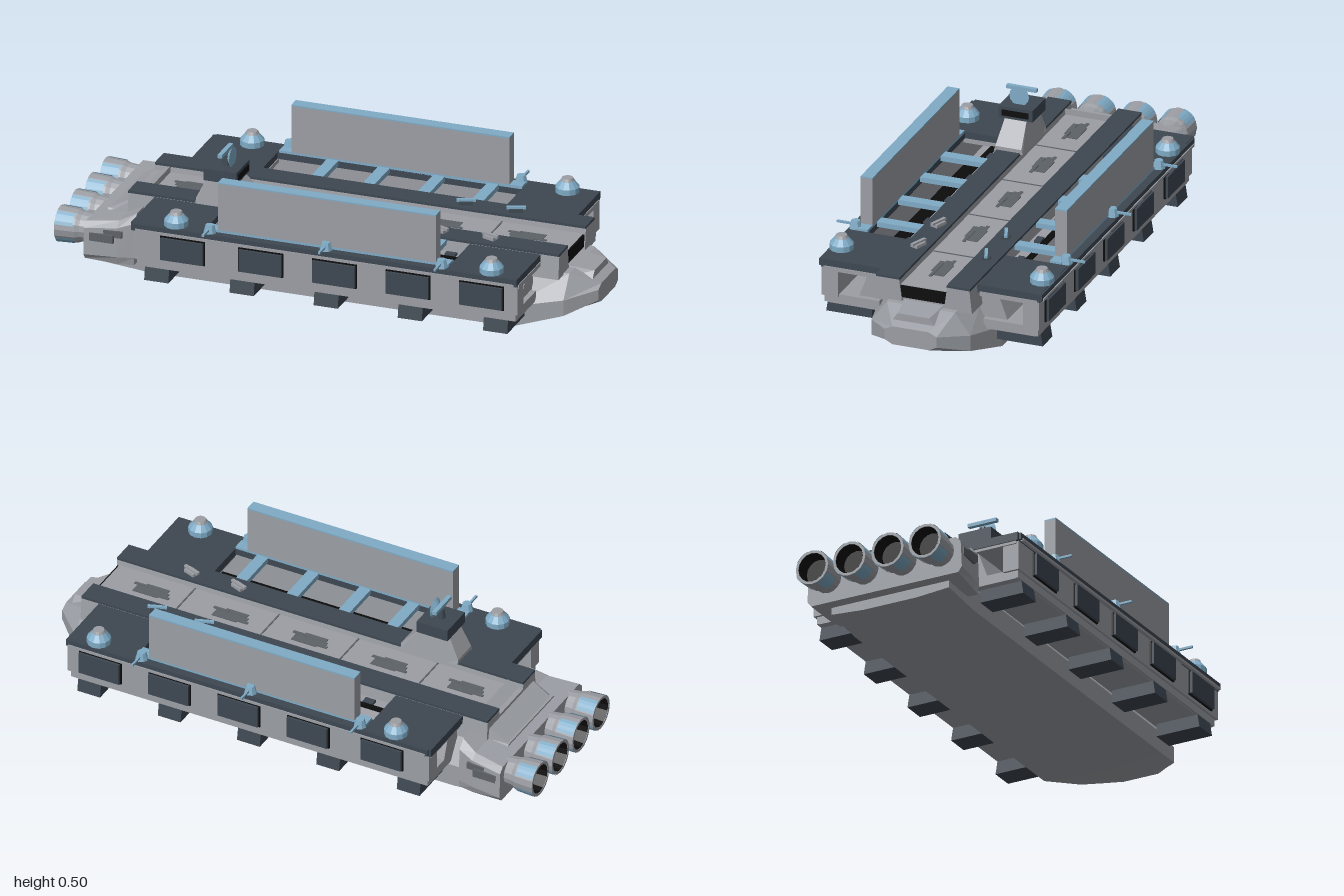
import * as THREE from 'three';

const mat = (name, color, o = {}) => {
  const m = new THREE.MeshStandardMaterial({ color, flatShading: true, ...o });
  m.name = name;
  return m;
};

export function createModel() {
  const grey = mat('hull grey', 0x9b9ea4);
  const dark = mat('slate', 0x3d4751);
  const blue = mat('pale blue', 0x7fabc6);
  const black = mat('black', 0x0c0c0c);
  const mid = mat('camouflage grey', 0x5d6268);
  const shell = grey;
  const root = new THREE.Group();
  root.name = 'ship';

  const add = (name, geo, m, x = 0, y = 0, z = 0) => {
    const mesh = new THREE.Mesh(geo, m);
    mesh.name = name;
    mesh.position.set(x, y, z);
    root.add(mesh);
    return mesh;
  };
  // Box given by its limits along each axis
  const box = (name, m, x0, x1, y0, y1, z0, z1) => add(name,
    new THREE.BoxGeometry(x1 - x0, y1 - y0, Math.abs(z1 - z0)), m,
    (x0 + x1) / 2, (y0 + y1) / 2, (z0 + z1) / 2);
  // Skin over [x, ring] sections; rings of [z, y] run up the +z side and down the other
  const loft = (name, m, sections) => {
    const p = [];
    const put = (s, i) => p.push(s[0], s[1][i][1], s[1][i][0]);
    const n = sections[0][1].length;
    for (let k = 0; k + 1 < sections.length; k++) {
      const a = sections[k], b = sections[k + 1];
      for (let i = 0; i < n; i++) {
        const j = (i + 1) % n;
        put(a, i); put(b, i); put(b, j);
        put(a, i); put(b, j); put(a, j);
      }
    }
    const first = sections[0], last = sections[sections.length - 1];
    for (let i = 1; i + 1 < n; i++) {
      put(first, 0); put(first, i); put(first, i + 1);
      put(last, 0); put(last, i + 1); put(last, i);
    }
    const g = new THREE.BufferGeometry();
    g.setAttribute('position', new THREE.Float32BufferAttribute(p, 3));
    g.computeVertexNormals();
    return add(name, g, m);
  };
  const sym = half => [...half, ...half.map(([z, y]) => [-z, y]).reverse()];
  // Ring of a trapezoid: bottom z limits, top z limits, bottom and top y
  const trap = (b0, b1, t0, t1, y0, y1) => [[b1, y0], [t1, y1], [t0, y1], [b0, y0]];

  // Main hull and bow
  loft('hull', grey, [
    [-0.84, sym([[0.11, 0.02], [0.24, 0.03], [0.24, 0.1], [0.17, 0.21]])],
    [-0.66, sym([[0.11, 0.004], [0.24, 0.013], [0.24, 0.1], [0.17, 0.21]])],
    [0.72, sym([[0.11, 0], [0.24, 0.012], [0.24, 0.09], [0.17, 0.21]])],
    [0.9, sym([[0.1, 0.045], [0.19, 0.06], [0.19, 0.12], [0.13, 0.2]])],
    [1.0, sym([[0.07, 0.085], [0.1, 0.1], [0.1, 0.14], [0.07, 0.155]])],
  ]);
  loft('bowStep', grey, [
    [0.84, trap(-0.1, 0.1, -0.08, 0.08, 0.16, 0.21)],
    [0.97, trap(-0.09, 0.09, -0.06, 0.06, 0.155, 0.195)],
  ]);

  // Centre deck with camouflage and a dark hangar mouth
  box('centreDeck', grey, -0.76, 0.87, 0.19, 0.262, -0.095, 0.095);
  box('hangarMouth', black, 0.868, 0.876, 0.215, 0.26, -0.088, 0.088);
  for (const x of [-0.58, -0.27, 0.05, 0.37, 0.69]) {
    [[0, 0, 0.13, 0.022], [-0.01, 0.022, 0.09, 0.02], [0.015, -0.02, 0.1, 0.018],
      [-0.05, -0.016, 0.05, 0.012], [0.05, 0.018, 0.06, 0.012]].forEach(([dx, dz, w, d], i) =>
      box('deckCamouflage', mid, x + dx - w / 2, x + dx + w / 2, 0.26, 0.264 + i * 0.0003, dz - d / 2, dz + d / 2));
  }
  for (const x of [-0.42, -0.1, 0.22, 0.56]) box('deckSeam', mid, x, x + 0.006, 0.26, 0.2635, -0.09, 0.09);

  // Stern engine housing
  loft('engineHousing', grey, [
    [-0.88, sym([[0.3, 0.06], [0.315, 0.08], [0.31, 0.18], [0.29, 0.2]])],
    [-0.76, sym([[0.29, 0.05], [0.3, 0.08], [0.295, 0.19], [0.27, 0.21]])],
    [-0.7, sym([[0.28, 0.05], [0.285, 0.08], [0.28, 0.21], [0.25, 0.24]])],
  ]);
  loft('sternDeck', grey, [
    [-0.84, trap(-0.18, 0.18, -0.16, 0.16, 0.19, 0.205)],
    [-0.7, trap(-0.19, 0.19, -0.17, 0.17, 0.19, 0.285)],
  ]);

  // Four engines with open nozzles
  const nozzle = new THREE.LatheGeometry([[0.05, 0], [0.056, 0.06], [0.062, 0.075], [0.066, 0.15],
    [0.056, 0.15], [0.05, 0.09]].map(([r, y]) => new THREE.Vector2(r, y)), 16);
  const along = (name, geo, m, x, y, z) => {
    const e = add(name, geo, m, x, y, z);
    e.rotation.z = Math.PI / 2;
    return e;
  };
  const blueSide = mat('pale blue', 0x7fabc6, { side: THREE.DoubleSide });
  blueSide.color = blue.color;
  for (const z of [-0.23, -0.078, 0.078, 0.23]) {
    along('engineNozzle', nozzle, shell, -0.85, 0.15, z);
    along('nozzleThroat', new THREE.CylinderGeometry(0.052, 0.052, 0.004, 16), black, -0.945, 0.15, z);
    along('nozzleLining', new THREE.CylinderGeometry(0.055, 0.05, 0.054, 16, 1, true),
      Object.assign(black, { side: THREE.DoubleSide }), -0.972, 0.15, z);
    for (let i = 0; i < 4; i++) {
      along('nozzleStripe', new THREE.CylinderGeometry(0.0675, 0.0645, 0.068, 4, 1, true,
        i * Math.PI / 2 + 0.3, Math.PI / 4), blueSide, -0.965, 0.15, z);
    }
  }

  for (const s of [1, -1]) {
    // Mirrored limits
    const sb = (name, m, x0, x1, y0, y1, z0, z1) => box(name, m, x0, x1, y0, y1, s * z0, s * z1);
    const sl = (name, m, x0, x1, b0, b1, t0, t1, y0, y1) => {
      const r = s > 0 ? trap(b0, b1, t0, t1, y0, y1) : trap(-b1, -b0, -t1, -t0, y0, y1);
      return loft(name, m, [[x0, r], [x1, r]]);
    };

    // Long deck rail with dark top
    sl('deckRail', grey, -0.76, 0.88, 0.08, 0.188, 0.092, 0.178, 0.195, 0.283);
    sb('railTop', dark, -0.76, 0.88, 0.282, 0.291, 0.09, 0.18);

    // Inner wall, floor and trench girders
    sl('innerWall', grey, -0.64, 0.78, 0.18, 0.285, 0.18, 0.25, 0.145, 0.24);
    sb('sponsonFloor', grey, -0.64, 0.8, 0.11, 0.147, 0.2, 0.4);
    sb('trenchFloor', black, -0.39, 0.54, 0.146, 0.152, 0.28, 0.355);
    sb('trenchRail', dark, -0.39, 0.54, 0.15, 0.165, 0.295, 0.31);
    sb('wallLedge', black, -0.39, 0.54, 0.238, 0.244, 0.225, 0.25);
    for (const x of [-0.3, -0.1, 0.1, 0.3, 0.48]) sb('wallLocker', dark, x - 0.02, x + 0.02, 0.19, 0.25, 0.2, 0.225);

    // Outer pod, its dark roof and the end platforms
    sb('podWall', grey, -0.65, 0.81, 0.14, 0.255, 0.355, 0.418);
    sb('podSkirt', grey, -0.64, 0.8, 0.112, 0.15, 0.37, 0.41);
    sb('podRoof', dark, -0.65, 0.81, 0.255, 0.28, 0.35, 0.428);
    sb('podRidge', grey, -0.64, 0.8, 0.252, 0.262, 0.41, 0.432);
    for (const [a, b] of [[-0.66, -0.39], [0.54, 0.81]]) {
      sb('endPlatform', dark, a, b, 0.25, 0.281, 0.18, 0.42);
      sb('platformEdge', grey, a + 0.004, b + 0.003, 0.24, 0.256, 0.19, 0.41);
    }

    // Side panels with rims, and feet below
    for (const x of [-0.463, -0.165, 0.115, 0.395, 0.675]) {
      sb('panelRim', black, x - 0.085, x + 0.085, 0.153, 0.245, 0.417, 0.424);
      sb('sidePanel', dark, x - 0.081, x + 0.081, 0.157, 0.241, 0.42, 0.434);
    }
    for (const x of [-0.565, -0.24, 0.08, 0.4, 0.725]) {
      sl('foot', dark, x - 0.046, x + 0.046, 0.24, 0.416, 0.24, 0.403, 0.062, 0.142);
    }

    // Blue beams and tall shield plate
    sb('longBeam', blue, -0.385, 0.54, 0.278, 0.289, 0.35, 0.396);
    for (const x of [-0.18, 0.015, 0.225, 0.43]) sb('crossBeam', blue, x - 0.022, x + 0.022, 0.265, 0.284, 0.175, 0.36);
    sb('shieldPlate', grey, -0.338, 0.492, 0.288, 0.468, 0.35, 0.396);
    sb('shieldTop', blue, -0.338, 0.492, 0.467, 0.473, 0.35, 0.396);

    // Large domed turrets
    for (const x of [-0.5, 0.7]) {
      add('turretBase', new THREE.CylinderGeometry(0.044, 0.044, 0.022, 12), blue, x, 0.291, s * 0.385);
      add('turretDome', new THREE.CylinderGeometry(0.026, 0.044, 0.022, 12), blue, x, 0.313, s * 0.385);
      add('turretCap', new THREE.CylinderGeometry(0.02, 0.026, 0.012, 12), grey, x, 0.329, s * 0.385);
    }
    // Small gun turrets pointing outward
    for (const x of [-0.365, 0.077, 0.517]) {
      add('gunMount', new THREE.CylinderGeometry(0.016, 0.024, 0.03, 8), blue, x, 0.295, s * 0.405);
      sb('gunBarrel', blue, x - 0.004, x + 0.004, 0.291, 0.299, 0.4, 0.477);
    }
    // Rail guns on the deck rails
    for (const x of [0.41, 0.6]) {
      const gun = new THREE.Group();
      gun.name = 'railGun';
      const m = s > 0 ? grey : blue;
      const mount = new THREE.Mesh(new THREE.BoxGeometry(0.05, 0.012, 0.03), s > 0 ? grey : dark);
      const barrel = new THREE.Mesh(new THREE.BoxGeometry(0.07, 0.009, 0.012), m);
      barrel.position.y = 0.009;
      mount.name = 'gunBody';
      barrel.name = 'gunTube';
      gun.add(mount, barrel);
      gun.position.set(x, 0.297, s * 0.13);
      gun.rotation.y = s > 0 ? -0.35 : 0.35;
      root.add(gun);
    }
    // Camouflage patches on the stern housing
    sb('sternPatch', mid, -0.86, -0.77, 0.135, 0.165, 0.3, 0.312);
    sb('sternPatch', mid, -0.81, -0.74, 0.155, 0.18, 0.29, 0.302);
  }

  // Command tower with radar dish
  loft('towerBase', grey, [
    [-0.5, trap(0.08, 0.192, 0.085, 0.185, 0.285, 0.305)],
    [-0.46, trap(0.08, 0.192, 0.095, 0.178, 0.285, 0.387)],
    [-0.345, trap(0.08, 0.192, 0.095, 0.178, 0.285, 0.387)],
    [-0.27, trap(0.08, 0.192, 0.085, 0.185, 0.285, 0.305)],
  ]);
  box('towerBridge', dark, -0.465, -0.34, 0.385, 0.43, 0.07, 0.202);
  box('bridgeWindow', black, -0.342, -0.336, 0.396, 0.418, 0.085, 0.188);
  add('radarMast', new THREE.CylinderGeometry(0.01, 0.016, 0.04, 8), dark, -0.405, 0.445, 0.137);
  along('radarDish', new THREE.CylinderGeometry(0.038, 0.02, 0.014, 14), blue, -0.385, 0.462, 0.137).rotation.z = -Math.PI / 2;
  box('radarBar', blue, -0.415, -0.398, 0.475, 0.488, 0.079, 0.195);

  return root;
}
